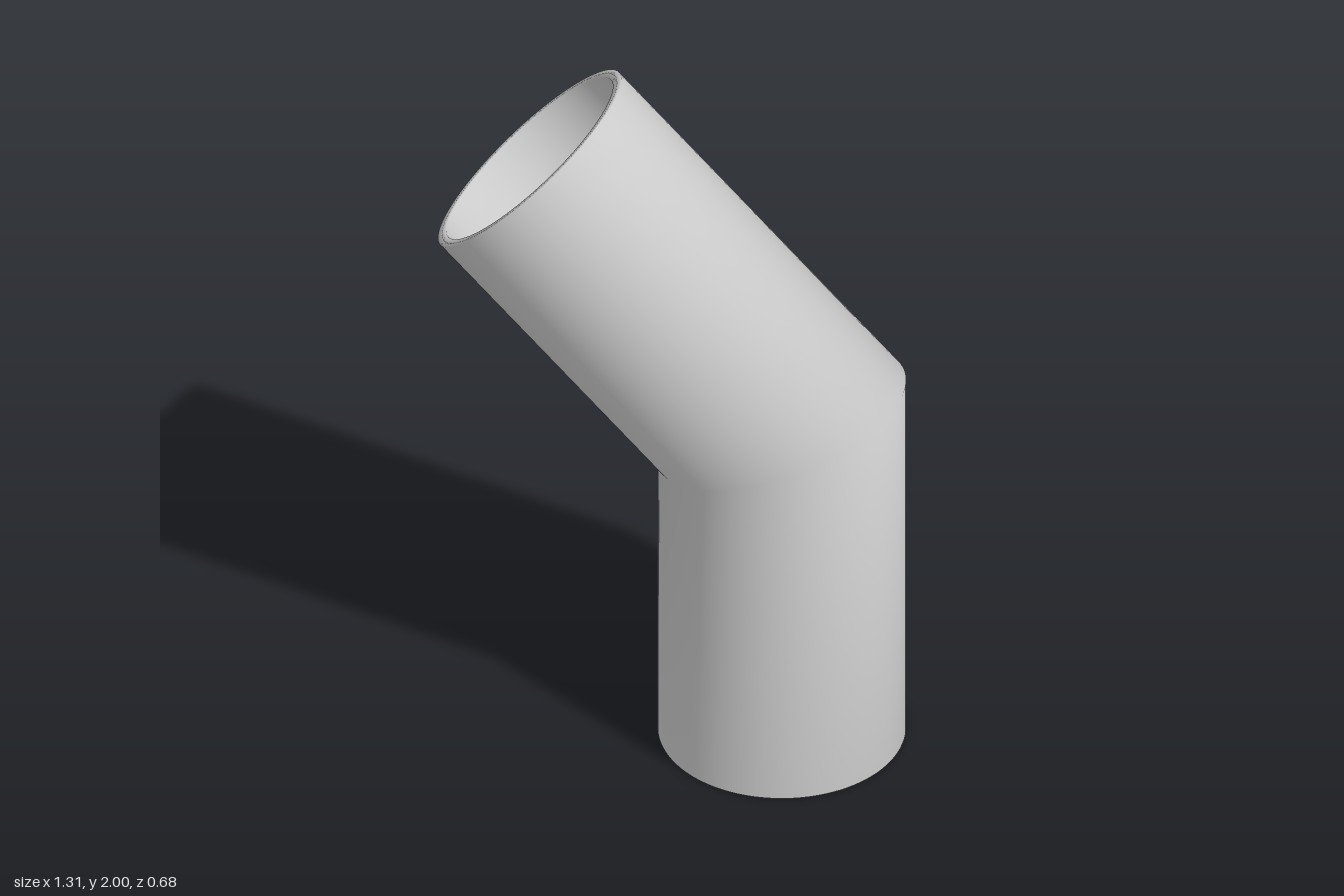
import * as THREE from 'three';

const SIDES = 96;
const OUTER = 0.341, INNER = 0.31;
const AXIS_X = 0.311, BEND_Y = 1.035, UPPER_LENGTH = 1.025;
const BEND = Math.PI / 4;

// Cross-sections of the pipe; slope tilts each ring towards the bend
const sections = {
  base: (c) => [AXIS_X + c, 0],
  mitre: (c) => [AXIS_X + c, BEND_Y + c * Math.tan(BEND / 2)],
  mouth: (c) => [
    AXIS_X - UPPER_LENGTH * Math.sin(BEND) + c * Math.cos(BEND),
    BEND_Y + UPPER_LENGTH * Math.cos(BEND) + c * Math.sin(BEND),
  ],
};

// Closed wall: up the outside, over the rim, down the inside, back across the bottom rim
function pipeGeometry() {
  const { base, mitre, mouth } = sections;
  const rings = [
    [base, OUTER], [mitre, OUTER], [mouth, OUTER],
    [mouth, INNER], [mitre, INNER], [base, INNER],
  ];
  const positions = [], indices = [];
  rings.forEach(([section, radius], i) => {
    const next = (i + 1) % rings.length;
    for (let j = 0; j < SIDES; j++) {
      const angle = (j / SIDES) * Math.PI * 2;
      const [x, y] = section(radius * Math.cos(angle));
      positions.push(x, y, radius * Math.sin(angle));

      const k = (j + 1) % SIDES;
      const a = i * SIDES + j, b = i * SIDES + k;
      const c = next * SIDES + j, d = next * SIDES + k;
      indices.push(a, c, b, b, c, d);
    }
  });
  const geometry = new THREE.BufferGeometry();
  geometry.setAttribute('position', new THREE.Float32BufferAttribute(positions, 3));
  geometry.setIndex(indices);
  geometry.computeVertexNormals();
  return geometry;
}

export function createModel() {
  const group = new THREE.Group();
  group.name = 'pipeElbow';
  const pipe = new THREE.Mesh(
    pipeGeometry(),
    new THREE.MeshStandardMaterial({ color: 0xcccccc }),
  );
  pipe.name = 'bentPipe';
  group.add(pipe);
  return group;
}
